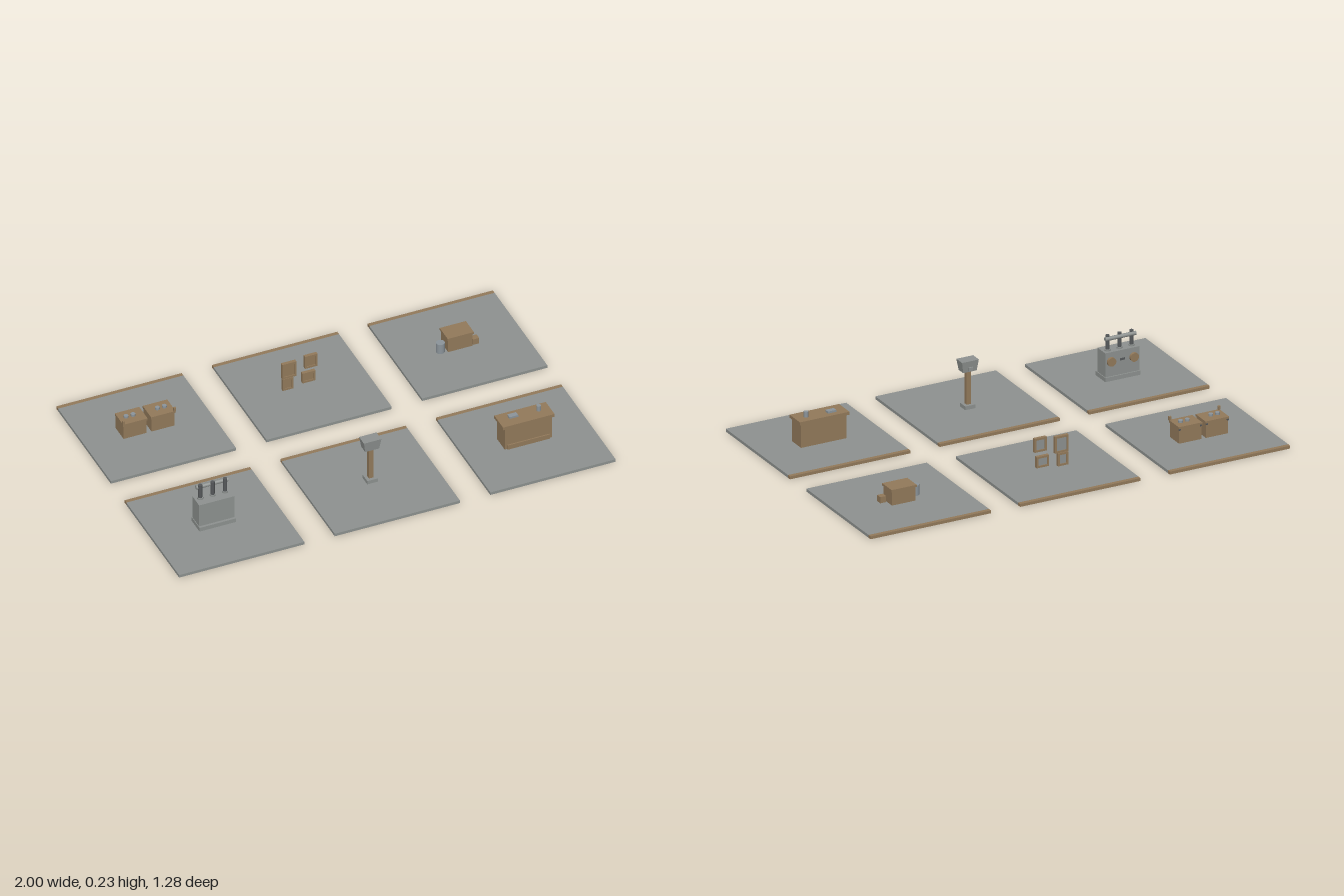
import * as THREE from 'three';

const mat = (name, color) => {
  const m = new THREE.MeshStandardMaterial({ color });
  m.name = name;
  return m;
};

export function createModel() {
  const gray = mat('stone gray', 0x8d918f);
  const brown = mat('wood brown', 0x92795a);
  const steel = mat('steel', 0x8b949a);
  const dark = mat('dark metal', 0x55585a);
  const root = new THREE.Group();
  const T = 0.013; // tile thickness

  const group = (name, x, z) => {
    const g = new THREE.Group();
    g.name = name;
    g.position.set(x, 0, z);
    root.add(g);
    return g;
  };
  const add = (g, name, geo, m, x, y, z) => {
    const mesh = new THREE.Mesh(geo, m);
    mesh.name = name;
    mesh.position.set(x, y, z);
    g.add(mesh);
    return mesh;
  };
  // box from min and max extents
  const box = (g, name, m, x0, x1, y0, y1, z0, z1) =>
    add(g, name, new THREE.BoxGeometry(x1 - x0, y1 - y0, z1 - z0), m,
      (x0 + x1) / 2, (y0 + y1) / 2, (z0 + z1) / 2);
  const post = (g, name, m, r, x, y0, y1, z) =>
    add(g, name, new THREE.CylinderGeometry(r, r, y1 - y0, 16), m, x, (y0 + y1) / 2, z);

  // six floor tiles, each with a wooden strip along its back edge
  for (const cx of [-0.713, 0, 0.713]) {
    for (const cz of [-0.356, 0.356]) {
      const g = group('floorTile', cx, cz);
      box(g, 'floor', gray, -0.287, 0.287, 0, T, -0.266, 0.284);
      box(g, 'backStrip', brown, -0.287, 0.287, 0, T, -0.284, -0.266);
    }
  }

  // cabinet with a rail on three posts
  const machine = group('railCabinet', -0.716, 0.355);
  box(machine, 'cabinetBase', gray, -0.084, 0.084, T, 0.032, -0.043, 0.043);
  box(machine, 'cabinetBody', gray, -0.081, 0.081, 0.032, 0.142, -0.037, 0.032);
  for (const x of [-0.057, 0, 0.057]) {
    post(machine, 'railPost', dark, 0.009, x, 0.142, 0.213, -0.012);
    post(machine, 'postCollar', gray, 0.013, x, 0.142, 0.149, -0.012);
  }
  add(machine, 'rail', new THREE.CylinderGeometry(0.009, 0.009, 0.146, 16), gray, 0, 0.198, -0.02)
    .rotation.z = Math.PI / 2;
  for (const x of [-0.054, 0.054]) {
    add(machine, 'dial', new THREE.CylinderGeometry(0.02, 0.02, 0.012, 20), brown, x, 0.1, -0.042)
      .rotation.x = Math.PI / 2;
  }
  box(machine, 'backSlot', dark, -0.012, 0.012, 0.097, 0.106, -0.041, -0.036);

  // lamp on a wooden post
  const lamp = group('postLamp', 0, 0.357);
  box(lamp, 'lampFoot', gray, -0.024, 0.024, T, 0.03, -0.024, 0.024);
  box(lamp, 'lampPost', brown, -0.01, 0.01, 0.03, 0.185, -0.01, 0.01);
  const head = new THREE.CylinderGeometry(0.04 * Math.SQRT2, 0.032 * Math.SQRT2, 0.05, 4, 1).toNonIndexed();
  head.rotateY(Math.PI / 4);
  head.scale(1, 1, 0.64);
  head.computeVertexNormals();
  add(lamp, 'lampHead', head, gray, 0, 0.208, 0);
  box(lamp, 'lampLatch', gray, -0.01, 0.01, 0.19, 0.205, -0.03, -0.022);

  // service counter
  const counter = group('counter', 0.709, 0.351);
  box(counter, 'counterBody', brown, -0.108, 0.108, T, 0.121, -0.038, 0.041);
  box(counter, 'counterTop', brown, -0.118, 0.118, 0.121, 0.135, -0.046, 0.046);
  box(counter, 'kickBoard', brown, -0.097, 0.097, T, 0.035, 0.041, 0.047);
  box(counter, 'tray', steel, -0.069, -0.029, 0.135, 0.144, -0.021, 0.002);
  post(counter, 'cup', steel, 0.01, 0.068, 0.135, 0.16, -0.006);

  // pair of low cabinets, mirrored, with knobs on top and a post at the outer corner
  for (const s of [-1, 1]) {
    const g = group('lowCabinet', -0.716 + s * 0.064, -0.36);
    box(g, 'lowCabinetBody', brown, -0.053, 0.053, T, 0.08, -0.041, 0.041);
    box(g, 'lowCabinetTop', brown, -0.056, 0.056, 0.08, 0.09, -0.044, 0.044);
    for (const x of [-0.016, 0.016]) {
      post(g, 'topKnob', steel, 0.01, x + s * 0.008, 0.09, 0.1, 0);
    }
    box(g, 'cornerPost', brown, s * 0.053 - 0.005, s * 0.053 + 0.005, 0.09, 0.107, 0.036, 0.046);
    for (const x of [-0.05, 0.05]) {
      box(g, 'backStud', dark, x - 0.004, x + 0.004, 0.074, 0.081, -0.046, -0.04);
    }
  }

  // four frames: x0, x1, y0, y1
  const frames = group('frames', 0, -0.362);
  for (const [x0, x1, y0, y1] of [
    [-0.09, -0.025, 0.074, 0.15], [0.014, 0.072, 0.098, 0.161],
    [-0.088, -0.04, T, 0.072], [0.003, 0.062, 0.025, 0.076]]) {
    const b = 0.009;
    const rect = (S, i) => new S([
      new THREE.Vector2(x0 + i, y0 + i), new THREE.Vector2(x1 - i, y0 + i),
      new THREE.Vector2(x1 - i, y1 - i), new THREE.Vector2(x0 + i, y1 - i)]);
    const shape = rect(THREE.Shape, 0);
    shape.holes.push(rect(THREE.Path, b));
    add(frames, 'frameBorder',
      new THREE.ExtrudeGeometry(shape, { depth: 0.015, bevelEnabled: false }), brown, 0, 0, -0.0075);
    box(frames, 'frameBacking', brown, x0 + b, x1 - b, y0 + b, y1 - b, -0.001, 0.004);
    box(frames, 'framePanel', gray, x0 + b, x1 - b, y0 + b, y1 - b, -0.004, -0.001);
  }

  // chest with a drum and a small crate beside it
  const chest = group('chest', 0.712, -0.361);
  box(chest, 'chestBody', brown, -0.056, 0.056, T, 0.076, -0.038, 0.038);
  box(chest, 'chestLid', brown, -0.06, 0.06, 0.076, 0.086, -0.042, 0.042);
  post(chest, 'drum', steel, 0.019, -0.084, T, 0.06, 0.02);
  box(chest, 'smallCrate', brown, 0.06, 0.088, T, 0.041, 0.006, 0.034);

  return root;
}
